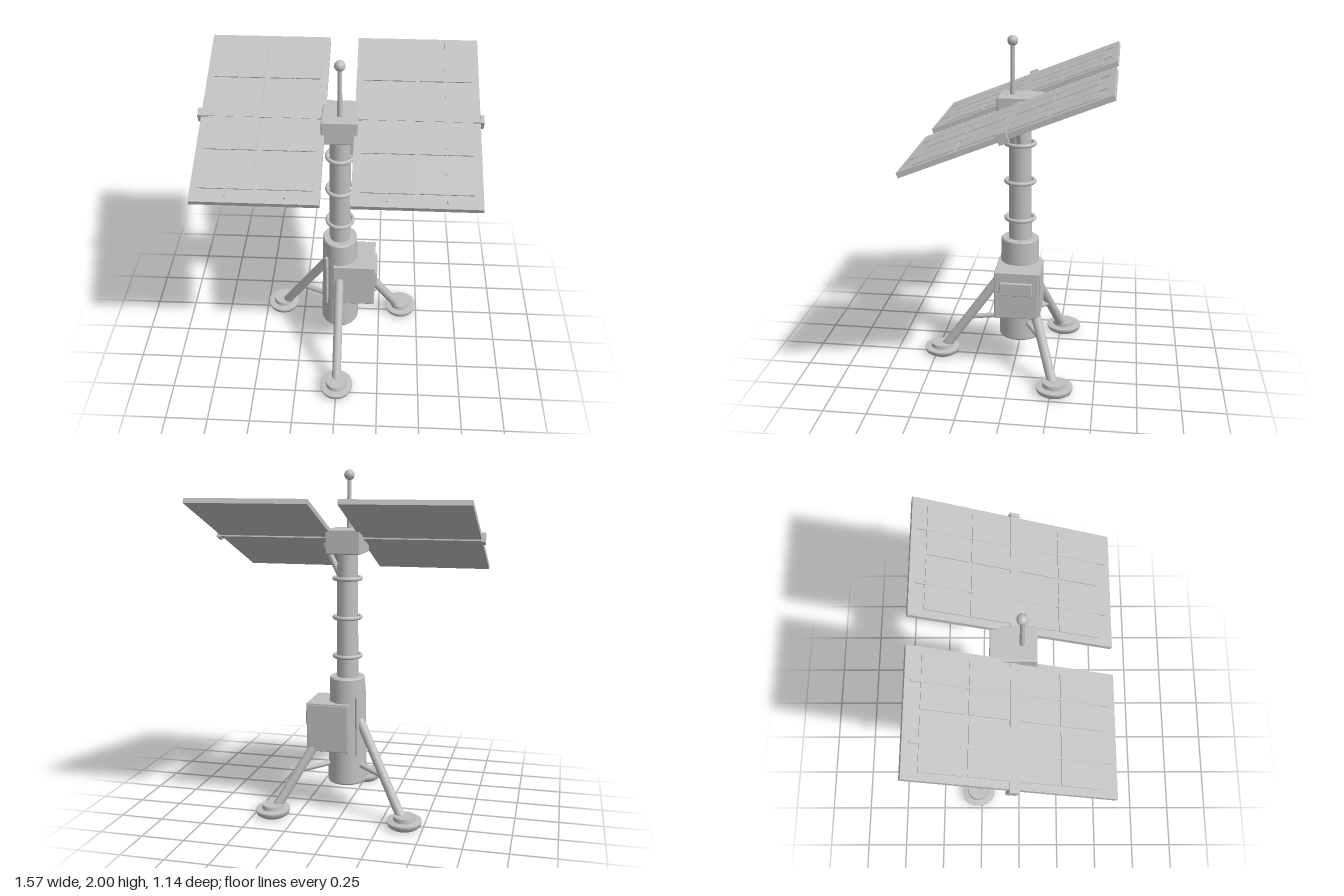
import * as THREE from 'three';
import { RoundedBoxGeometry } from 'three/addons/geometries/RoundedBoxGeometry.js';

const grey = new THREE.MeshStandardMaterial({ color: 0xc0c0c0 });
grey.name = 'light grey';

function add(parent, name, geometry, x = 0, y = 0, z = 0) {
  const mesh = new THREE.Mesh(geometry, grey);
  mesh.name = name;
  mesh.position.set(x, y, z);
  parent.add(mesh);
  return mesh;
}

const box = (w, h, d) => new THREE.BoxGeometry(w, h, d);
const rounded = (w, h, d, r) => new RoundedBoxGeometry(w, h, d, 2, r);

// Round bar between two points
function rod(parent, name, from, to, r0, r1 = r0) {
  const a = new THREE.Vector3(...from);
  const b = new THREE.Vector3(...to);
  const dir = b.clone().sub(a);
  const mesh = add(parent, name, new THREE.CylinderGeometry(r1, r0, dir.length(), 20));
  mesh.position.copy(a).add(b).multiplyScalar(0.5);
  mesh.quaternion.setFromUnitVectors(new THREE.Vector3(0, 1, 0), dir.normalize());
  return mesh;
}

// Leg with foot pad and brace, pointing along +z
function buildLeg() {
  const leg = new THREE.Group();
  leg.name = 'leg';
  rod(leg, 'legTube', [0, 0.555, 0.11], [0, 0.05, 0.465], 0.029);
  rod(leg, 'legBrace', [0, 0.285, 0.09], [0, 0.255, 0.32], 0.015);
  const lower = [[0, 0], [0.085, 0], [0.102, 0.012], [0.108, 0.03], [0.108, 0.042], [0, 0.042]];
  add(leg, 'footPad', new THREE.LatheGeometry(lower.map(p => new THREE.Vector2(...p)), 32), 0, 0, 0.493);
  add(leg, 'footCollar', new THREE.CylinderGeometry(0.066, 0.07, 0.028, 32), 0, 0.052, 0.493);
  return leg;
}

// Solar wing: frame, raised cells and thin ribs
function buildWing(side) {
  const wing = new THREE.Group();
  wing.name = side > 0 ? 'leftWing' : 'rightWing';
  wing.position.x = side * 0.423;
  add(wing, 'wingFrame', box(0.685, 0.028, 1.15));
  for (const col of [-1, 1]) {
    const x = col * 0.157;
    for (const v of [-0.375, -0.125, 0.125, 0.375]) {
      add(wing, 'solarCell', box(0.288, 0.008, 0.234), x, 0.016, v);
    }
    add(wing, 'cellRib', box(0.01, 0.008, 1.085), x, 0.018, 0);
  }
  add(wing, 'axleCap', box(0.02, 0.054, 0.054), side * 0.352, 0, 0);
  return wing;
}

export function createModel() {
  const model = new THREE.Group();
  model.name = 'solarMast';
  const zc = -0.026;

  // Slightly oval mast and tripod
  const mast = new THREE.Group();
  mast.name = 'mast';
  mast.position.z = zc;
  mast.scale.x = 0.92;
  model.add(mast);

  const baseProfile = [[0, 0.17], [0.12, 0.17], [0.125, 0.178], [0.112, 0.8], [0.106, 0.806], [0, 0.806]];
  const base = new THREE.CylinderGeometry(0.112, 0.125, 0.622, 40);
  add(mast, 'baseTube', base, 0, 0.489, 0);
  for (const [i, flip] of [[0, -1], [4, 1]]) {
    const [[r0, y0], [r1, y1]] = [baseProfile[i + (flip < 0 ? 2 : 0)], baseProfile[i + (flip < 0 ? 1 : 0)]];
    const [top, bottom] = flip < 0 ? [r0, r1] : [r0, 0.112];
    add(mast, 'baseRim', new THREE.CylinderGeometry(top, bottom, 0.008, 40), 0, flip < 0 ? (y0 + y1) / 2 : 0.803, 0);
  }
  rod(mast, 'upperTube', [0, 0.8, 0], [0, 1.54, 0], 0.069, 0.064);
  for (const y of [0.93, 1.158, 1.385]) {
    const ring = add(mast, 'mastRing', new THREE.TorusGeometry(0.083, 0.012, 12, 40), 0, y, 0);
    ring.rotation.x = Math.PI / 2;
  }
  for (let i = 0; i < 3; i++) {
    const leg = buildLeg();
    leg.rotation.y = i * Math.PI * 2 / 3;
    mast.add(leg);
  }
  // Vertical fins on the base tube
  for (const s of [-1, 1]) {
    const fin = add(mast, 'baseFin', box(0.024, 0.355, 0.02), -0.085, 0.522, s * 0.088);
    fin.rotation.y = s * Math.PI / 4;
  }

  // Equipment box with side hatch and back door
  add(model, 'equipmentBox', rounded(0.254, 0.292, 0.26, 0.006), 0.09, 0.515, -0.027);
  add(model, 'sideHatch', rounded(0.024, 0.08, 0.19, 0.005), 0.219, 0.56, -0.025);
  add(model, 'backDoor', box(0.235, 0.27, 0.012), 0.09, 0.515, -0.16);

  // Head with antenna and actuator
  add(model, 'head', rounded(0.2, 0.14, 0.25, 0.008), 0, 1.6, -0.028);
  rod(model, 'antennaRod', [0, 1.66, 0.018], [0, 1.96, 0.018], 0.015, 0.011);
  add(model, 'antennaBall', new THREE.SphereGeometry(0.03, 24, 16), 0, 1.97, 0.018);
  rod(model, 'actuator', [0.045, 1.4, zc], [0.135, 1.585, zc], 0.017);

  // Tilted solar array on its axle
  const array = new THREE.Group();
  array.name = 'solarArray';
  array.position.set(0, 1.626, -0.03);
  array.rotation.x = 21.8 * Math.PI / 180;
  add(array, 'axle', box(1.56, 0.044, 0.046));
  array.add(buildWing(1), buildWing(-1));
  model.add(array);

  return model;
}
